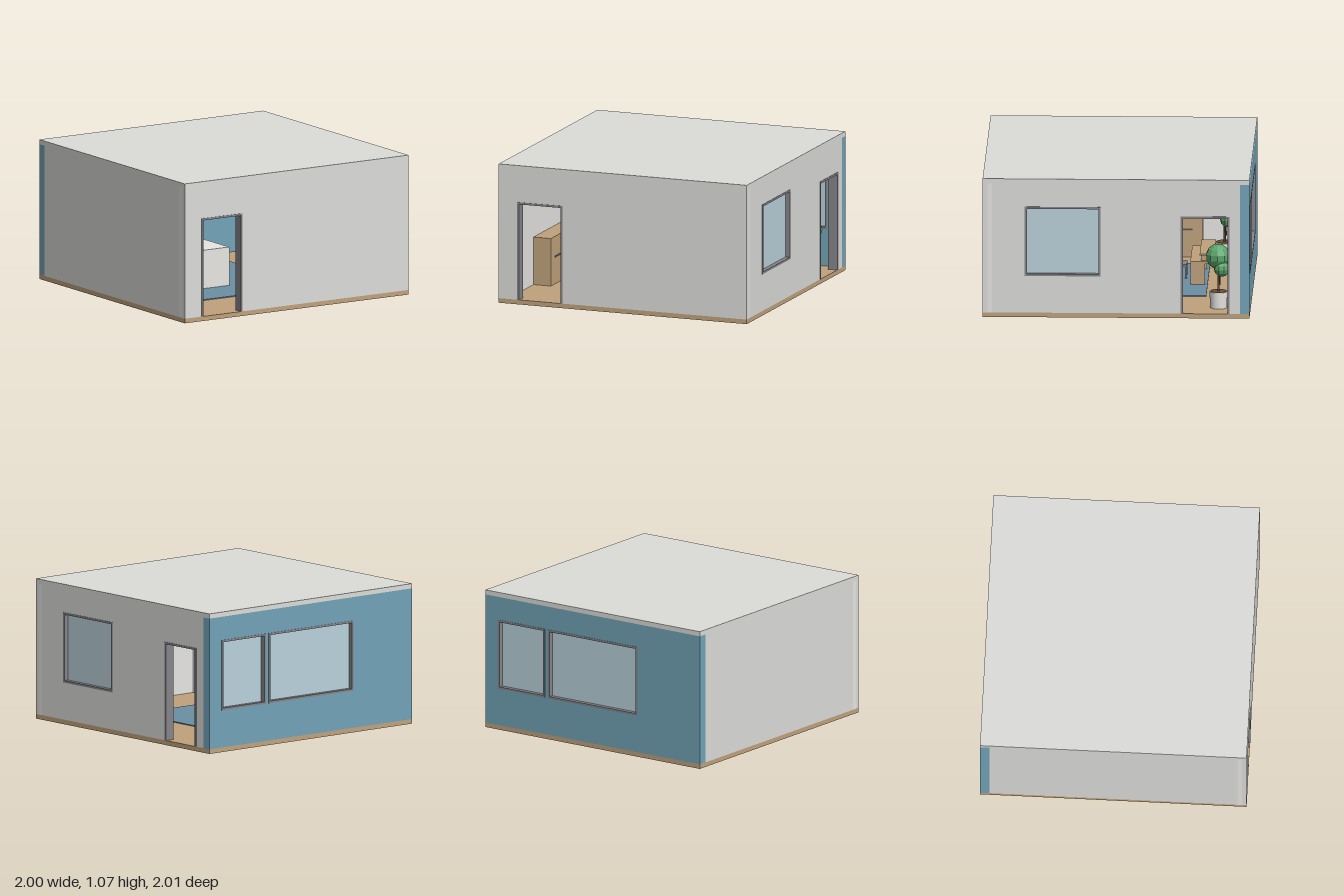
import * as THREE from 'three';

const mat = (name, color, extra = {}) => {
  const m = new THREE.MeshStandardMaterial({ color, ...extra });
  m.name = name;
  return m;
};

export function createModel() {
  const M = {
    wall: mat('outer wall grey', 0xdcdcd9),
    white: mat('inner white', 0xf4f3f0),
    teal: mat('accent teal', 0x72a4b8),
    wood: mat('light wood', 0xc0a27c),
    frame: mat('frame grey', 0x86868b),
    glass: mat('pale glass', 0xbad2dc),
    leaf: mat('leaf green', 0x5aa46b, { flatShading: true }),
    trunk: mat('trunk brown', 0x6b5138),
    rug: mat('rug slate', 0x6c8fa3),
  };
  const root = new THREE.Group();
  root.name = 'room';

  const add = (parent, name, geo, material, x = 0, y = 0, z = 0) => {
    const mesh = new THREE.Mesh(geo, material);
    mesh.name = name;
    mesh.position.set(x, y, z);
    parent.add(mesh);
    return mesh;
  };
  // Box given by its limits on each axis
  const box = (parent, name, m, x0, x1, y0, y1, z0, z1) =>
    add(parent, name, new THREE.BoxGeometry(x1 - x0, y1 - y0, z1 - z0), m,
      (x0 + x1) / 2, (y0 + y1) / 2, (z0 + z1) / 2);

  const FLOOR = 0.035, TOP = 1.03, H = 1.066, T = 0.07, BAR = 0.016;
  const loop = (Type, pts) => new Type(pts.map(([x, y]) => new THREE.Vector2(x, y)));
  const rect = (Type, x0, x1, y0, y1) => loop(Type, [[x0, y0], [x1, y0], [x1, y1], [x0, y1]]);
  const extrude = (shape, depth) => new THREE.ExtrudeGeometry(shape, { depth, bevelEnabled: false });

  // Wall in its own plane: outer face at local z = 0, openings as { a, b, door }
  const wall = (name, u0, u1, outer, inner, openings) => {
    const g = new THREE.Group();
    g.name = name;
    const bottom = o => (o.door ? FLOOR : 0.318);
    const top = o => (o.door ? 0.785 : 0.852);
    const pts = [[u0, FLOOR]];
    // Doors notch the lower edge, windows are holes
    openings.filter(o => o.door).forEach(({ a, b }) =>
      pts.push([a + 0.004, FLOOR], [a + 0.004, 0.781], [b - 0.004, 0.781], [b - 0.004, FLOOR]));
    pts.push([u1, FLOOR], [u1, TOP], [u0, TOP]);
    const shape = loop(THREE.Shape, pts);
    openings.filter(o => !o.door).forEach(o =>
      shape.holes.push(rect(THREE.Path, o.a + 0.004, o.b - 0.004, bottom(o) + 0.004, top(o) - 0.004)));
    add(g, name + 'Outside', extrude(shape, T / 2), outer, 0, 0, -T / 2);
    add(g, name + 'Inside', extrude(shape, T / 2), inner, 0, 0, -T);

    openings.forEach(o => {
      const { a, b } = o, y0 = bottom(o), y1 = top(o);
      let f;
      if (o.door) {
        f = loop(THREE.Shape, [[a, y0], [a + BAR, y0], [a + BAR, y1 - BAR],
          [b - BAR, y1 - BAR], [b - BAR, y0], [b, y0], [b, y1], [a, y1]]);
      } else {
        f = rect(THREE.Shape, a, b, y0, y1);
        f.holes.push(rect(THREE.Path, a + BAR, b - BAR, y0 + BAR, y1 - BAR));
        box(g, 'windowPane', M.glass, a + BAR, b - BAR, y0 + BAR, y1 - BAR, -0.04, -0.033);
      }
      add(g, o.door ? 'doorFrame' : 'windowFrame', extrude(f, T + 0.006), M.frame, 0, 0, -T - 0.003);
    });
    root.add(g);
    return g;
  };

  // Shell
  box(root, 'floor', M.wood, -1, 1, 0, FLOOR, -1, 1);
  box(root, 'ceiling', M.wall, -1, 1, TOP, H, -1, 1);
  const front = wall('frontWall', -1, 1, M.wall, M.white, [{ a: -0.85, b: -0.485, door: true }]);
  front.position.z = 1;
  const back = wall('backWall', -1, 1, M.teal, M.teal, [{ a: -0.88, b: -0.445 }, { a: -0.415, b: 0.42 }]);
  back.position.z = -1;
  back.rotation.y = Math.PI;
  const left = wall('leftWall', -0.93, 0.93, M.wall, M.white,
    [{ a: -0.685, b: -0.115 }, { a: 0.485, b: 0.85, door: true }]);
  left.position.x = 1;
  left.rotation.y = Math.PI / 2;
  const right = wall('rightWall', -0.93, 0.93, M.wall, M.white, []);
  right.position.x = -1;
  right.rotation.y = -Math.PI / 2;

  // Potted trees in the two back corners
  for (const x of [-0.77, 0.79]) {
    const g = new THREE.Group();
    g.name = 'pottedTree';
    add(g, 'pot', new THREE.CylinderGeometry(0.068, 0.062, 0.125, 24), M.white, 0, 0.0625);
    add(g, 'soil', new THREE.CylinderGeometry(0.06, 0.06, 0.004, 24), M.trunk, 0, 0.126);
    add(g, 'trunk', new THREE.CylinderGeometry(0.007, 0.009, 0.22, 8), M.trunk, 0, 0.23);
    const branch = add(g, 'branch', new THREE.CylinderGeometry(0.005, 0.006, 0.12, 6), M.trunk, 0.02, 0.23, -0.01);
    branch.rotation.z = -0.4;
    const crown = add(g, 'crown', new THREE.SphereGeometry(0.092, 10, 7), M.leaf, 0.005, 0.395, 0.005);
    crown.scale.y = 1.03;
    add(g, 'lowerCrown', new THREE.SphereGeometry(0.06, 9, 6), M.leaf, 0.045, 0.308, -0.025);
    g.position.set(x, FLOOR, -0.762);
    root.add(g);
  }

  // Long sideboard along the right wall
  const side = new THREE.Group();
  side.name = 'sideboard';
  box(side, 'sideboardBody', M.wood, -0.93, -0.79, FLOOR, 0.4, -0.6, 0.47);
  for (let i = 0; i < 4; i++) {
    const z = -0.47 + i * 0.27;
    box(side, 'sideboardHandle', M.frame, -0.79, -0.783, 0.24, 0.25, z - 0.05, z + 0.05);
  }
  root.add(side);

  // Desk with drawers and a chair
  const desk = new THREE.Group();
  desk.name = 'desk';
  box(desk, 'deskTop', M.wood, -0.4, 0.1, 0.2, 0.218, -0.72, -0.53);
  for (const x of [-0.4, 0.08]) box(desk, 'deskSide', M.wood, x, x + 0.02, FLOOR, 0.2, -0.64, -0.53);
  box(desk, 'deskShelf', M.wood, -0.38, 0.08, 0.26, 0.272, -0.71, -0.6);
  for (const x of [-0.36, 0.05]) box(desk, 'shelfPost', M.wood, x, x + 0.015, 0.218, 0.26, -0.7, -0.61);
  root.add(desk);
  const chair = new THREE.Group();
  chair.name = 'chair';
  box(chair, 'chairSeat', M.frame, -0.22, -0.08, 0.13, 0.15, -0.5, -0.38);
  box(chair, 'chairBack', M.frame, -0.22, -0.08, 0.15, 0.28, -0.4, -0.38);
  for (const x of [-0.22, -0.095]) for (const z of [-0.5, -0.395])
    box(chair, 'chairLeg', M.frame, x, x + 0.015, FLOOR, 0.13, z, z + 0.015);
  root.add(chair);

  // White counter block on a rug
  box(root, 'counter', M.white, -0.62, -0.05, FLOOR, 0.335, -0.2, 0.15);
  box(root, 'rug', M.rug, -0.57, 0.45, FLOOR, 0.042, -0.66, 0.5);

  return root;
}
